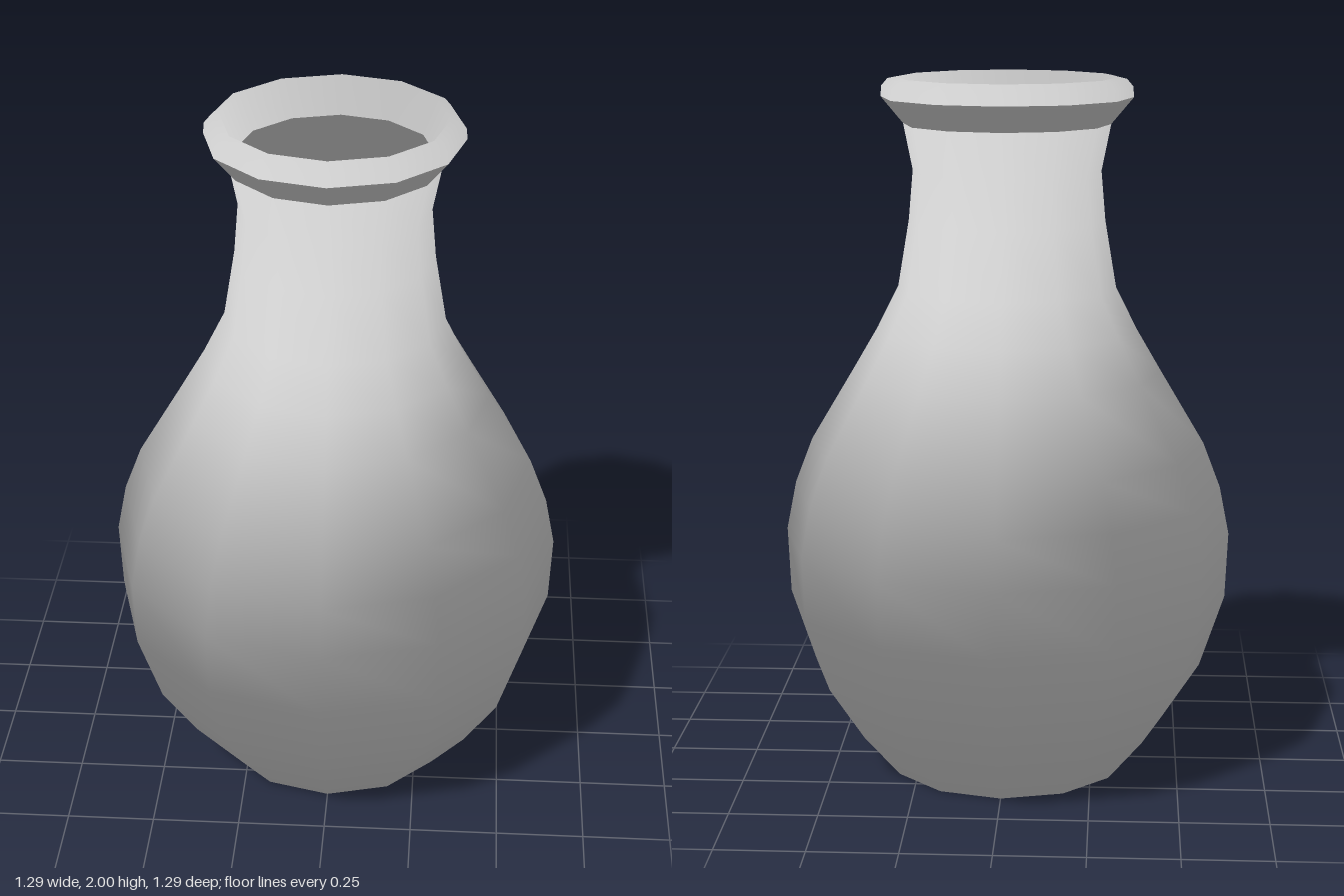
import * as THREE from 'three';

const SIDES = 12;
const CENTRE = new THREE.Vector3(0, 1.05, 0);

export function createModel() {
  const vase = new THREE.Group();
  vase.name = 'vase';
  const clay = new THREE.MeshStandardMaterial({ color: 0xcccccc });
  clay.name = 'pale grey clay';

  // Soft normals that radiate from the middle of the vase
  const soften = (geometry) => {
    const { position, normal } = geometry.attributes;
    const n = new THREE.Vector3();
    for (let i = 0; i < position.count; i++) {
      n.fromBufferAttribute(position, i).sub(CENTRE).normalize();
      normal.setXYZ(i, n.x, n.y, n.z);
    }
    return geometry;
  };

  // Turns a profile of [radius, height] points; upward runs face outwards
  const turn = (name, profile) => {
    const points = profile.map(([r, y]) => new THREE.Vector2(r, y));
    const mesh = new THREE.Mesh(soften(new THREE.LatheGeometry(points, SIDES)), clay);
    mesh.name = name;
    vase.add(mesh);
  };

  // Flat foot, round belly, sloping shoulder and slim neck with a flared lip
  turn('outerWall', [
    [0, 0], [0.35, 0], [0.46, 0.13], [0.565, 0.29], [0.635, 0.5], [0.643, 0.69],
    [0.615, 0.83], [0.565, 0.96], [0.44, 1.17], [0.37, 1.29], [0.31, 1.41],
    [0.278, 1.6], [0.266, 1.74], [0.292, 1.87], [0.355, 1.945],
    [0.352, 1.975], [0.335, 1.995], [0.31, 2],
  ]);

  // Hollow inside, from the mouth down to the floor
  turn('innerWall', [
    [0.31, 2], [0.27, 1.9], [0.25, 1.75], [0.26, 1.6], [0.29, 1.41],
    [0.42, 1.16], [0.54, 0.95], [0.605, 0.7], [0.6, 0.5], [0.53, 0.3],
    [0.43, 0.15], [0.34, 0.06], [0, 0.06],
  ]);

  return vase;
}
